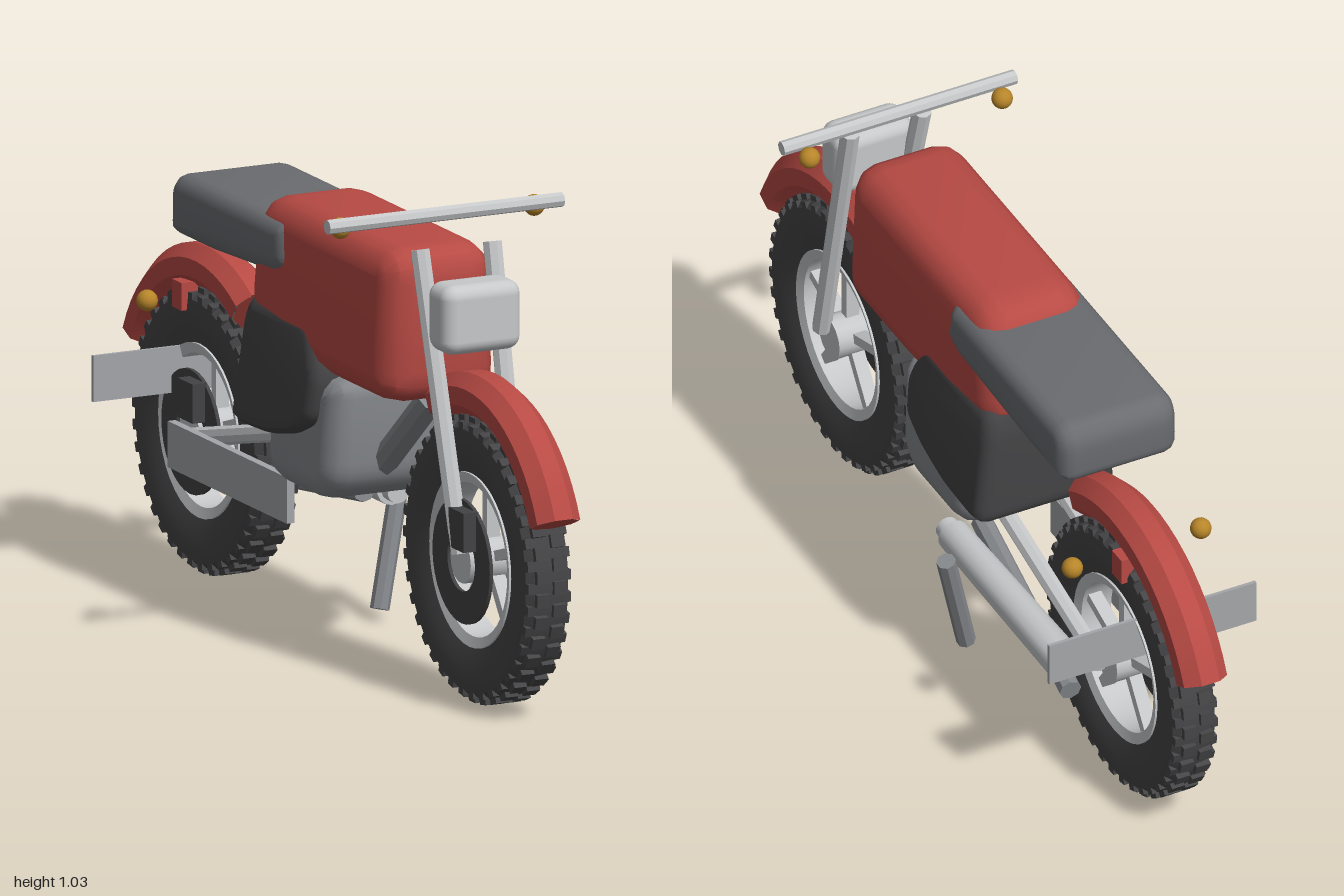
import * as THREE from 'three';
import { toCreasedNormals } from 'three/addons/utils/BufferGeometryUtils.js';
import { RoundedBoxGeometry } from 'three/addons/geometries/RoundedBoxGeometry.js';

const paint = (name, color) => Object.assign(new THREE.MeshStandardMaterial({ color }), { name });
const V = (x, y, z) => new THREE.Vector3(x, y, z);
const rad = THREE.MathUtils.degToRad;

export function createModel() {
  const red = paint('red paint', 0xb84a44);
  const silver = paint('silver', 0xc6c8ca);
  const steel = paint('steel', 0x85888c);
  const seatGrey = paint('seat grey', 0x6a6c70);
  const coverDark = paint('dark cover', 0x434345);
  const rubber = paint('rubber', 0x454547);
  const plateGrey = paint('plate grey', 0xa4a6a9);
  const amber = paint('amber', 0xb8862a);

  const bike = new THREE.Group();
  bike.name = 'motorcycle';
  const add = (name, geo, mat, pos = [0, 0, 0], parent = bike) => {
    const m = new THREE.Mesh(geo, mat);
    m.name = name;
    m.position.set(...pos);
    parent.add(m);
    return m;
  };

  // Straight bar between two points
  const rod = (name, a, b, r, mat, r2 = r, sides = 8, parent = bike) => {
    const d = b.clone().sub(a);
    const geo = toCreasedNormals(new THREE.CylinderGeometry(r2, r, d.length(), sides), 0.6);
    const m = add(name, geo, mat, a.clone().add(b).multiplyScalar(0.5).toArray(), parent);
    m.quaternion.setFromUnitVectors(V(0, 1, 0), d.normalize());
    return m;
  };

  // Bevelled body panel from a (z, y) side outline with rounded corners; flare widens it downwards
  const body = (name, pts, halfWidth, bevel, corner, mat, flare = 0, midY = 0) => {
    const P = pts.map(p => new THREE.Vector2(...p));
    const shape = new THREE.Shape();
    P.forEach((p, i) => {
      const a = P[(i + P.length - 1) % P.length], b = P[(i + 1) % P.length];
      const from = p.clone().lerp(a, Math.min(0.45, corner / p.distanceTo(a)));
      const to = p.clone().lerp(b, Math.min(0.45, corner / p.distanceTo(b)));
      if (i) shape.lineTo(from.x, from.y); else shape.moveTo(from.x, from.y);
      shape.quadraticCurveTo(p.x, p.y, to.x, to.y);
    });
    shape.closePath();
    const depth = 2 * (halfWidth - bevel);
    const geo = new THREE.ExtrudeGeometry(shape, {
      depth, bevelEnabled: true, bevelSize: bevel, bevelThickness: bevel,
      bevelOffset: -bevel, bevelSegments: 3, curveSegments: 4,
    });
    geo.translate(0, 0, -depth / 2).rotateY(-Math.PI / 2);
    const pos = geo.attributes.position;
    for (let i = 0; i < pos.count; i++) pos.setX(i, pos.getX(i) * (1 + (midY - pos.getY(i)) * flare));
    return add(name, toCreasedNormals(geo, 0.6), mat);
  };

  // Lathe about the x axis; angle runs from +z up towards +y
  const ring = (pts, segs, start = 0, length = Math.PI * 2, crease = 0.6) => toCreasedNormals(
    new THREE.LatheGeometry(pts.map(p => new THREE.Vector2(...p)), segs, start, length).rotateZ(Math.PI / 2), crease);

  // Tank, seat, side cover and engine
  body('fuelTank', [[0.435, 0.6], [0.435, 0.935], [-0.18, 0.935], [-0.225, 0.85], [-0.24, 0.66], [0.1, 0.6]],
    0.13, 0.06, 0.07, red, 0.3, 0.8);
  body('seat', [[-0.055, 0.895], [-0.04, 0.8], [-0.09, 0.775], [-0.4, 0.76], [-0.585, 0.76], [-0.585, 0.86], [-0.56, 0.895]],
    0.14, 0.035, 0.025, seatGrey);
  body('sideCover', [[0.06, 0.71], [-0.22, 0.71], [-0.24, 0.66], [-0.25, 0.44], [-0.21, 0.43], [-0.08, 0.435], [0.03, 0.46], [0.115, 0.5], [0.125, 0.6]],
    0.15, 0.03, 0.03, coverDark, 0.85, 0.58);
  body('engine', [[0.185, 0.6], [-0.14, 0.6], [-0.14, 0.37], [-0.1, 0.33], [0.12, 0.33], [0.175, 0.38]],
    0.135, 0.05, 0.04, steel, 0.4, 0.47);

  // Wheels, each with tread, rim, five spokes, brake disc and caliper
  const tyreHalf = [[0.185, -0.036], [0.22, -0.048], [0.255, -0.053], [0.282, -0.05], [0.296, -0.036], [0.3, 0]];
  const tyrePts = [...tyreHalf, ...tyreHalf.slice(0, -1).reverse().map(([r, h]) => [r, -h]), tyreHalf[0]];
  const rimPts = [[0.165, -0.035], [0.188, -0.042], [0.188, 0.042], [0.165, 0.035], [0.165, -0.035]];
  const discPts = [[0.065, -0.004], [0.135, -0.004], [0.135, 0.004], [0.065, 0.004], [0.065, -0.004]];
  const blockGeo = new THREE.BoxGeometry(0.03, 0.024, 0.028);
  const shoulderGeo = new THREE.BoxGeometry(0.014, 0.024, 0.022);
  const wheel = (name, z) => {
    const g = new THREE.Group();
    g.name = name;
    g.position.set(0, 0.31, z);
    bike.add(g);
    add('tyre', ring(tyrePts, 48), rubber, [0, 0, 0], g);
    add('rim', ring(rimPts, 40), silver, [0, 0, 0], g);
    const n = 38;
    for (let i = 0; i < n; i++) for (const s of [-1, 1]) {
      const a = (i + (s > 0 ? 0.5 : 0)) / n * Math.PI * 2;
      const c = a + Math.PI / n;
      add('treadBlock', blockGeo, rubber, [s * 0.02, 0.296 * Math.cos(a), 0.296 * Math.sin(a)], g).rotation.x = a;
      add('shoulderBlock', shoulderGeo, rubber, [s * 0.043, 0.284 * Math.cos(c), 0.284 * Math.sin(c)], g).rotation.x = c;
    }
    for (let i = 0; i < 5; i++) {
      const a = i / 5 * Math.PI * 2;
      const spoke = add('spoke', new THREE.BoxGeometry(0.03, 0.14, 0.022), silver,
        [0.01, 0.105 * Math.cos(a), 0.105 * Math.sin(a)], g);
      spoke.rotation.x = a;
    }
    rod('hub', V(-0.062, 0, 0), V(0.06, 0, 0), 0.048, silver, 0.048, 14, g);
    add('brakeDisc', ring(discPts, 32), coverDark, [-0.057, 0, 0], g);
    add('brakeCaliper', new THREE.BoxGeometry(0.035, 0.085, 0.07), coverDark, [-0.073, 0.078, 0.035], g);
  };
  wheel('frontWheel', 0.64);
  wheel('rearWheel', -0.635);

  // Mudguards: eight-sided arcs with closed ends
  const octagon = Array.from({ length: 9 }, (_, i) => {
    const a = Math.PI / 8 + i * Math.PI / 4;
    return [0.35 + 0.051 * Math.cos(a), 0.055 * Math.sin(a)];
  });
  const mudguard = (name, z, from, to) => {
    const g = new THREE.Group();
    g.name = name;
    g.position.set(0, 0.31, z);
    bike.add(g);
    add('arc', ring(octagon, 16, rad(from), rad(to - from), 0.4), red, [0, 0, 0], g);
    [from, to].forEach((deg, i) => {
      const p = rad(deg);
      const cap = new THREE.CircleGeometry(0.052, 8, Math.PI / 8).rotateY(i * Math.PI);
      add('end', cap, red, [0, 0.35 * Math.sin(p), 0.35 * Math.cos(p)], g).rotation.x = Math.PI / 2 - p;
    });
  };
  mudguard('frontMudguard', 0.64, 24, 121);
  mudguard('rearMudguard', -0.635, 58, 156);

  // Mirrored parts
  for (const s of [-1, 1]) {
    rod('forkTube', V(s * 0.07, 0.33, 0.655), V(s * 0.085, 0.955, 0.495), 0.021, silver);
    rod('swingArm', V(s * 0.07, 0.43, -0.1), V(s * 0.07, 0.3, -0.63), 0.02, silver);
    const ball = new THREE.SphereGeometry(0.023, 14, 10);
    add('frontIndicator', ball, amber, [s * 0.228, 0.998, 0.405]);
    add('rearIndicator', ball, amber, [s * 0.152, 0.6, -0.655]);
  }

  // Handlebar and headlight
  rod('handlebar', V(-0.277, 1.013, 0.442), V(0.275, 1.013, 0.442), 0.016, silver);
  add('headlight', new RoundedBoxGeometry(0.185, 0.15, 0.1, 3, 0.03), silver, [-0.002, 0.825, 0.585]);

  // Frame, exhaust and stand
  rod('downTube', V(0, 0.6, 0.38), V(0, 0.4, 0.14), 0.03, steel);
  rod('exhaustPipe', V(0.132, 0.29, -0.04), V(0.132, 0.29, -0.09), 0.026, silver, 0.026, 14);
  rod('exhaust', V(0.132, 0.29, -0.07), V(0.132, 0.295, -0.585), 0.036, silver, 0.042, 14);
  rod('lowerPipe', V(0.06, 0.295, -0.06), V(0.115, 0.212, -0.575), 0.024, steel);
  rod('kickstand', V(0.188, 0.29, -0.145), V(0.115, 0.025, -0.095), 0.021, steel);

  // Chain guard, rear plate and tail light
  add('chainGuard', new THREE.BoxGeometry(0.018, 0.1, 0.56), plateGrey, [-0.097, 0.285, -0.37]);
  add('rearPlate', new THREE.BoxGeometry(0.49, 0.1, 0.008), plateGrey, [0, 0.425, -0.726]);
  add('tailLight', new THREE.BoxGeometry(0.13, 0.06, 0.045), red, [0, 0.595, -0.69]);

  return bike;
}
